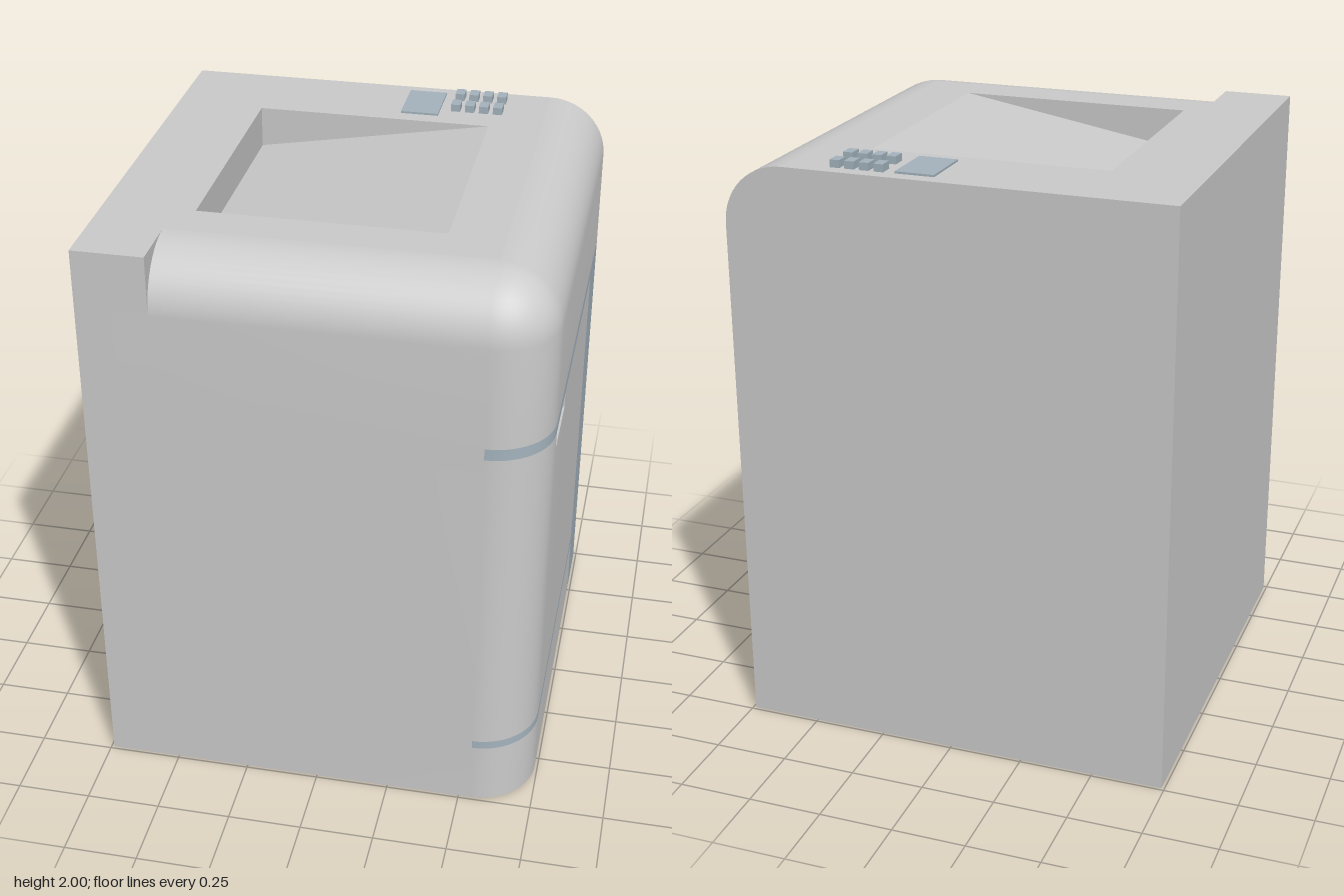
import * as THREE from 'three';
import { toCreasedNormals } from 'three/addons/utils/BufferGeometryUtils.js';

const H = 0.74, TOP = 1.975, R = 0.2, C = H - R, STEP = -0.505, ARC = 14;
const grey = new THREE.MeshStandardMaterial({ color: 0xcccccc });
const blue = new THREE.MeshStandardMaterial({ color: 0xa5b4be });

// Quad corners run counter-clockwise seen from outside; collapsed triangles are dropped
function addQuad(list, a, b, c, d) {
  for (const [p, q, r] of [[a, b, c], [a, c, d]]) {
    const area = new THREE.Vector3().subVectors(q, p).cross(new THREE.Vector3().subVectors(r, p));
    if (area.length() > 1e-8) list.push(p, q, r);
  }
}

function meshFrom(name, points, material) {
  const geo = toCreasedNormals(new THREE.BufferGeometry().setFromPoints(points), 0.5);
  return named(name, geo, material);
}

function named(name, geo, material) {
  const mesh = new THREE.Mesh(geo, material);
  mesh.name = name;
  return mesh;
}

// Horizontal outline at height y; the front and +x sides are drawn in by d,
// while the block on the -x side keeps its square front
function outline(y, d) {
  const pts = [[-H, -H], [-H, H], [STEP, H], [STEP, H - d]];
  for (let i = 0; i <= ARC; i++) {
    const a = (i / ARC) * Math.PI / 2;
    pts.push([C + (R - d) * Math.sin(a), C + (R - d) * Math.cos(a)]);
  }
  for (const z of [0.29, -0.52, -H]) pts.push([H - d, z]);
  return pts.map(([x, z]) => new THREE.Vector3(x, y, z));
}

// Flat cap over an outline, facing up or down
function cap(ring, up, hole) {
  const s = up ? -1 : 1;
  const flat = ring.filter((p, i) => i === 0 || p.distanceTo(ring[i - 1]) > 1e-5)
    .map(p => new THREE.Vector2(p.x, s * p.z));
  const shape = new THREE.Shape(flat);
  if (hole) shape.holes.push(new THREE.Path(hole.map(([x, z]) => new THREE.Vector2(x, s * z))));
  return new THREE.ShapeGeometry(shape).rotateX(s * Math.PI / 2).translate(0, ring[0].y, 0);
}

export function createModel() {
  const model = new THREE.Group();
  model.name = 'printer';

  // Walls: straight layers cut at the trim bands and slot, then the rounded top edge
  const rings = [0, 0.225, 0.255, 1.335, 1.39, 1.43, TOP - R].map(y => outline(y, 0));
  for (let i = 1; i <= ARC; i++) {
    const t = (i / ARC) * Math.PI / 2;
    rings.push(outline(TOP - R + R * Math.sin(t), R * (1 - Math.cos(t))));
  }
  const n = rings[0].length, arcStart = 4, slotCol = arcStart + ARC, panelCol = slotCol + 2;
  const wall = [], trim = [];
  for (let r = 0; r < rings.length - 1; r++) {
    for (let i = 0; i < n; i++) {
      if (r === 3 && i === slotCol) continue; // opening of the grip slot
      const band = (r === 1 || r === 4) && i >= arcStart && i <= panelCol;
      const rearPanel = r <= 4 && i === panelCol;
      const j = (i + 1) % n;
      addQuad(band || rearPanel ? trim : wall,
        rings[r][i], rings[r][j], rings[r + 1][j], rings[r + 1][i]);
    }
  }
  model.add(meshFrom('bodyWalls', wall, grey), meshFrom('trimBands', trim, blue));

  // Top with the opening of the paper tray, and the base
  const x0 = -0.44, x1 = 0.36, z0 = -0.44, z1 = 0.4, depth = 0.14;
  model.add(
    named('topCover', cap(rings[rings.length - 1], true, [[x0, z0], [x1, z0], [x1, z1], [x0, z1]]), grey),
    named('base', cap(rings[0], false), grey));

  // Sloping paper tray sunk into the top
  const v = (x, y, z) => new THREE.Vector3(x, y, z);
  const tray = [], low = TOP - depth;
  addQuad(tray, v(x0, low, z0), v(x0, low, z1), v(x1, TOP, z1), v(x1, TOP, z0));
  addQuad(tray, v(x0, low, z1), v(x0, low, z0), v(x0, TOP, z0), v(x0, TOP, z1));
  tray.push(v(x0, low, z0), v(x1, TOP, z0), v(x0, TOP, z0));
  tray.push(v(x0, low, z1), v(x0, TOP, z1), v(x1, TOP, z1));
  model.add(meshFrom('paperTray', tray, grey));

  // Grip slot in the side: mouth corners run around the opening, walls go inward
  const slot = [], inX = H - 0.1;
  const mouth = [[1.335, C], [1.335, 0.29], [1.39, 0.29], [1.39, C]];
  mouth.forEach(([y, z], i) => {
    const [yn, zn] = mouth[(i + 1) % 4];
    addQuad(slot, v(H, y, z), v(H, yn, zn), v(inX, yn, zn), v(inX, y, z));
  });
  addQuad(slot, ...mouth.map(([y, z]) => v(inX, y, z)));
  model.add(meshFrom('gripSlot', slot, grey));

  // Control panel: display and two rows of keys
  const controls = new THREE.Group();
  controls.name = 'controlPanel';
  const display = named('display', new THREE.BoxGeometry(0.13, 0.012, 0.195), blue);
  display.position.set(0.11, TOP + 0.001, -0.593);
  controls.add(display);
  const keyGeo = new THREE.BoxGeometry(0.032, 0.03, 0.048);
  for (let row = 0; row < 2; row++) {
    for (let col = 0; col < 4; col++) {
      const key = named('key', keyGeo, blue);
      key.position.set(0.229 + col * 0.049, 1.985, -0.668 + row * 0.099);
      controls.add(key);
    }
  }
  model.add(controls);
  return model;
}
